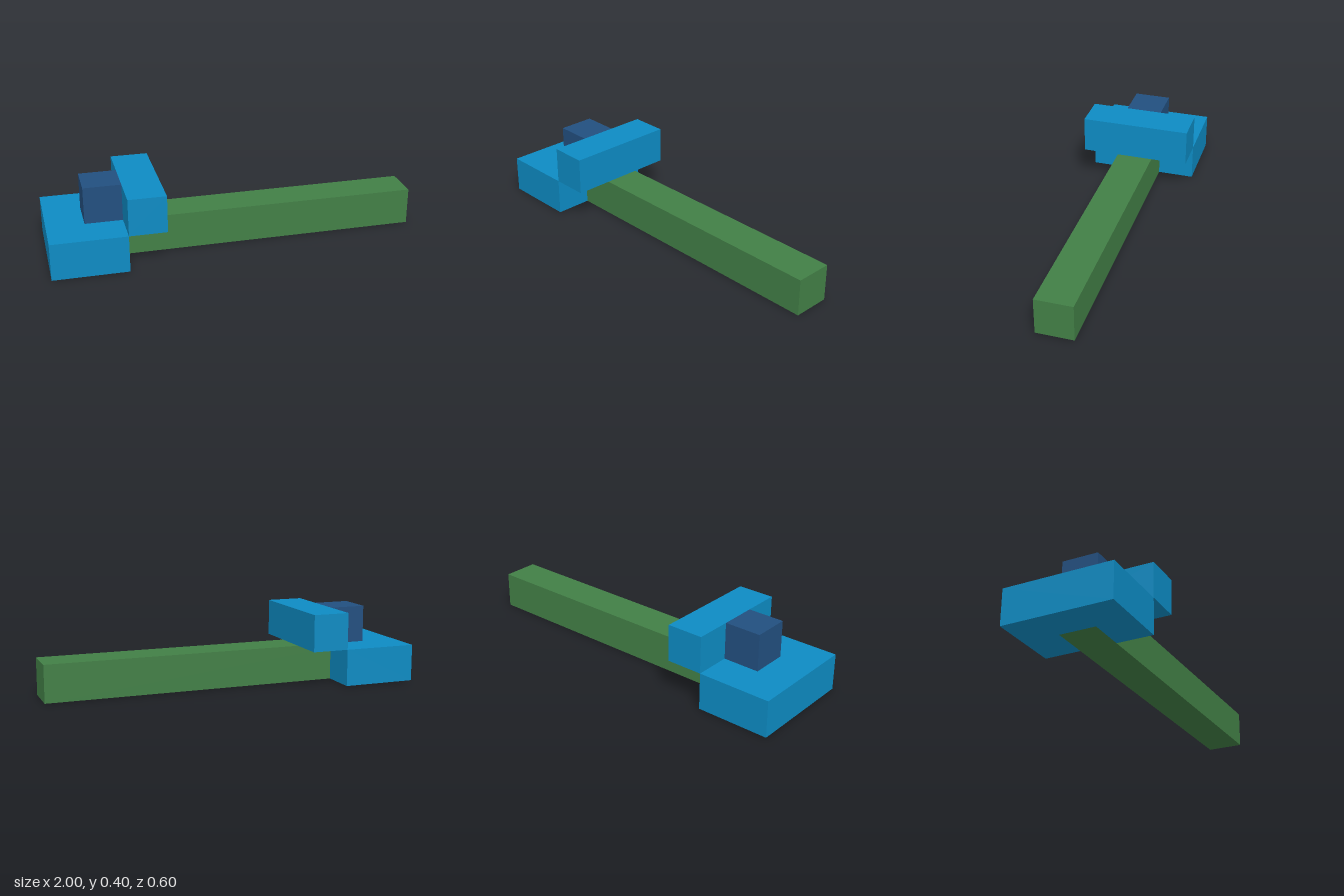
import * as THREE from 'three';

const blue = new THREE.MeshStandardMaterial({ name: 'bright blue', color: 0x0d8bc3 });
const green = new THREE.MeshStandardMaterial({ name: 'leaf green', color: 0x427f46 });
const navy = new THREE.MeshStandardMaterial({ name: 'navy blue', color: 0x224f7f });

export function createModel() {
  const model = new THREE.Group();
  model.name = 'blockModel';

  function add(name, geometry, material) {
    const mesh = new THREE.Mesh(geometry, material);
    mesh.name = name;
    model.add(mesh);
  }

  // Box spanning x0..x1 and y0..y1, centred on z = 0
  function block(name, x0, x1, y0, y1, depth, material) {
    const geometry = new THREE.BoxGeometry(x1 - x0, y1 - y0, depth);
    geometry.translate((x0 + x1) / 2, (y0 + y1) / 2, 0);
    add(name, geometry, material);
  }

  // Base slab, slotted to receive the end of the shaft
  const outline = new THREE.Shape([
    [-1, -0.3], [-0.6, -0.3], [-0.6, -0.1], [-0.8, -0.1],
    [-0.8, 0.1], [-0.6, 0.1], [-0.6, 0.3], [-1, 0.3],
  ].map(([x, y]) => new THREE.Vector2(x, y)));
  const slab = new THREE.ExtrudeGeometry(outline, { depth: 0.2, bevelEnabled: false });
  slab.rotateX(-Math.PI / 2);
  add('base', slab, blue);

  // Long shaft, seated in the slot of the base
  block('shaft', -0.8, 1, 0, 0.2, 0.2, green);

  // Raised bar across the shaft, and the small block behind it
  block('crossbar', -0.6, -0.4, 0.2, 0.4, 0.6, blue);
  block('topBlock', -0.8, -0.6, 0.2, 0.4, 0.2, navy);

  return model;
}
